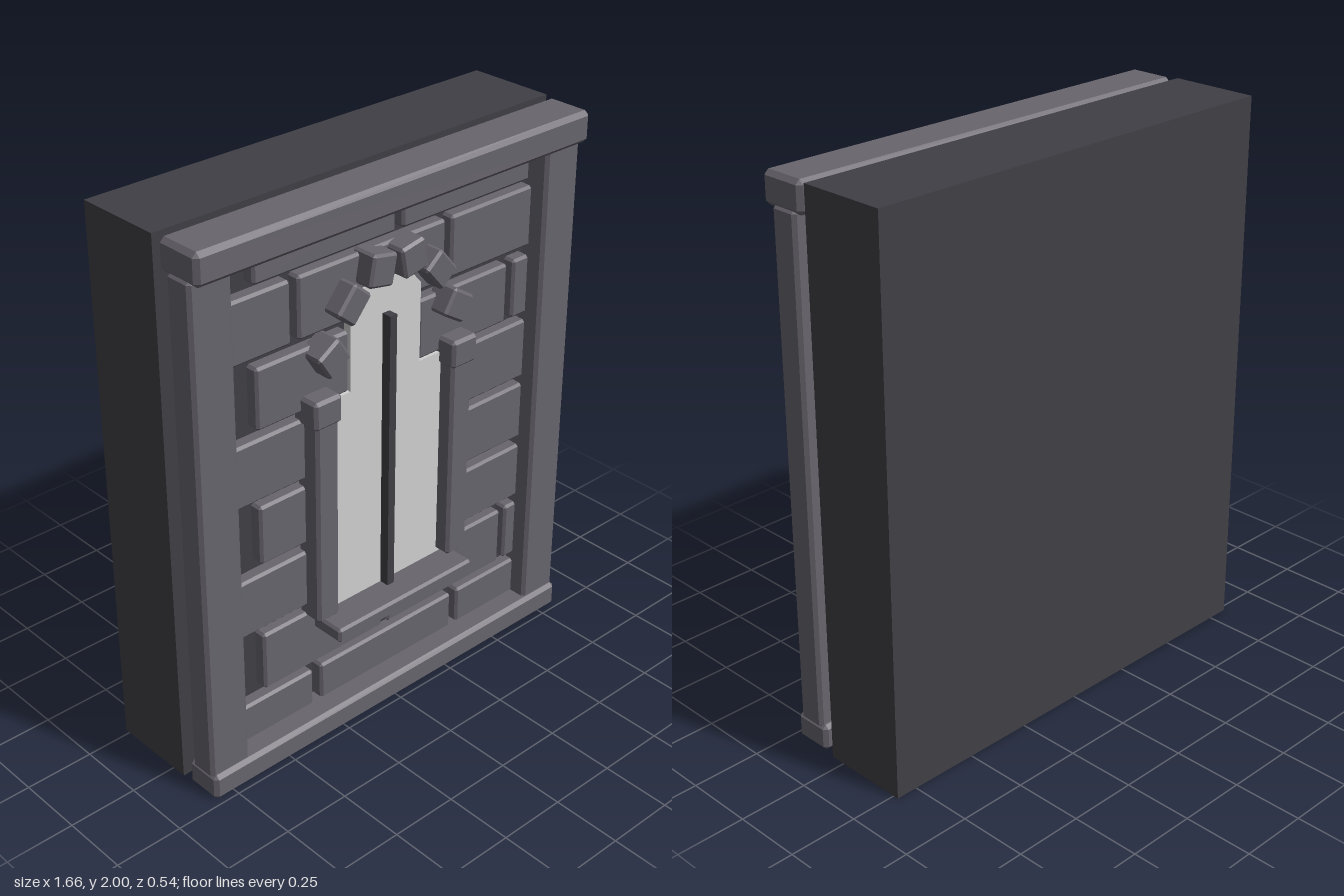
import * as THREE from 'three';
import { ConvexGeometry } from 'three/addons/geometries/ConvexGeometry.js';

const material = (name, color) => {
  const m = new THREE.MeshStandardMaterial({ color });
  m.name = name;
  return m;
};

// Box with flat chamfers on every edge: each corner becomes three points.
function chamferBox(w, h, d, c) {
  const points = [];
  for (const x of [-1, 1]) for (const y of [-1, 1]) for (const z of [-1, 1]) {
    const X = w / 2, Y = h / 2, Z = d / 2;
    points.push(
      new THREE.Vector3(x * X, y * (Y - c), z * (Z - c)),
      new THREE.Vector3(x * (X - c), y * Y, z * (Z - c)),
      new THREE.Vector3(x * (X - c), y * (Y - c), z * Z));
  }
  return new ConvexGeometry(points);
}

export function createModel() {
  const model = new THREE.Group();
  model.name = 'castleWindowWall';
  const stone = material('stone', 0x68656d);
  const dark = material('darkStone', 0x403f45);
  const pane = material('paleGlass', 0xd0d0d0);

  // Block given by its limits on each axis; chamfer 0 makes a plain box.
  function block(name, [x0, x1], [y0, y1], [z0, z1], mat, chamfer = 0, parent = model) {
    const size = [x1 - x0, y1 - y0, z1 - z0];
    const geometry = chamfer ? chamferBox(...size, chamfer) : new THREE.BoxGeometry(...size);
    const mesh = new THREE.Mesh(geometry, mat);
    mesh.name = name;
    mesh.position.set((x0 + x1) / 2, (y0 + y1) / 2, (z0 + z1) / 2);
    parent.add(mesh);
    return mesh;
  }

  // Backing wall and outer frame
  block('backWall', [-0.83, 0.83], [0, 2], [-0.27, 0.055], dark);
  block('topBeam', [-0.83, 0.83], [1.888, 2], [0.078, 0.255], stone, 0.016);
  block('bottomBeam', [-0.83, 0.83], [0, 0.097], [0.09, 0.233], stone, 0.014);

  // Brick courses: bottom, top, then the left and right end of each brick
  const courses = [
    [0.09, 0.237, [-0.68, -0.325], [-0.29, 0.345], [0.375, 0.68]],
    [0.265, 0.49, [-0.54, 0], [0.025, 0.592], [0.618, 0.68]],
    [0.52, 0.737, [-0.68, -0.29], [0.29, 0.68]],
    [0.77, 0.99, [-0.54, -0.29], [0.29, 0.68]],
    [1.018, 1.243, [-0.68, -0.29], [0.39, 0.68]],
    [1.27, 1.49, [-0.54, -0.155], [0.155, 0.572], [0.602, 0.68]],
    [1.525, 1.745, [-0.68, -0.395], [-0.365, 0.27], [0.297, 0.68]],
    [1.77, 1.9, [-0.54, 0.045], [0.075, 0.66]],
  ];
  const bricks = new THREE.Group();
  bricks.name = 'bricks';
  model.add(bricks);
  for (const [y0, y1, ...spans] of courses) {
    for (const span of spans) block('brick', span, [y0, y1], [0.095, 0.15], stone, 0.009, bricks);
  }

  // Stepped window pane and its central bar
  const outline = new THREE.Shape([
    [-0.27, 0.45], [0.27, 0.45], [0.27, 1.27], [0.155, 1.27], [0.155, 1.56], [0.1, 1.622],
    [-0.1, 1.622], [-0.155, 1.56], [-0.155, 1.27], [-0.27, 1.27],
  ].map(([x, y]) => new THREE.Vector2(x, y)));
  const glass = new THREE.Mesh(
    new THREE.ExtrudeGeometry(outline, { depth: 0.03, bevelEnabled: false }), pane);
  glass.name = 'windowPane';
  glass.position.z = 0.124;
  model.add(glass);
  block('windowBar', [-0.015, 0.015], [0.45, 1.505], [0.14, 0.19], dark);
  block('windowSill', [-0.315, 0.315], [0.41, 0.464], [0.13, 0.275], stone, 0.009);

  // Mirrored posts, window jambs and arch stones
  const archStones = [
    // x, y, width, height, turn
    [0.275, 1.455, 0.105, 0.1, -0.56],
    [0.19, 1.612, 0.093, 0.118, 0.7],
    [0.068, 1.692, 0.105, 0.112, 0.19],
  ];
  for (const s of [-1, 1]) {
    const side = s > 0 ? 'left' : 'right';
    const span = (a, b) => (s > 0 ? [a, b] : [-b, -a]);
    block(side + 'Post', span(0.67, 0.83), [0.08, 1.9], [0.11, 0.216], stone, 0.012);
    block(side + 'Jamb', span(0.255, 0.35), [0.473, 1.3], [0.11, 0.212], stone, 0.011);
    block(side + 'JambCap', span(0.248, 0.363), [1.225, 1.327], [0.11, 0.222], stone, 0.011);
    for (const [x, y, w, h, turn] of archStones) {
      const archStone = block(side + 'ArchStone', [s * x - w / 2, s * x + w / 2],
        [y - h / 2, y + h / 2], [0.115, 0.218], stone, 0.009);
      archStone.rotation.z = s * turn;
    }
  }
  return model;
}
